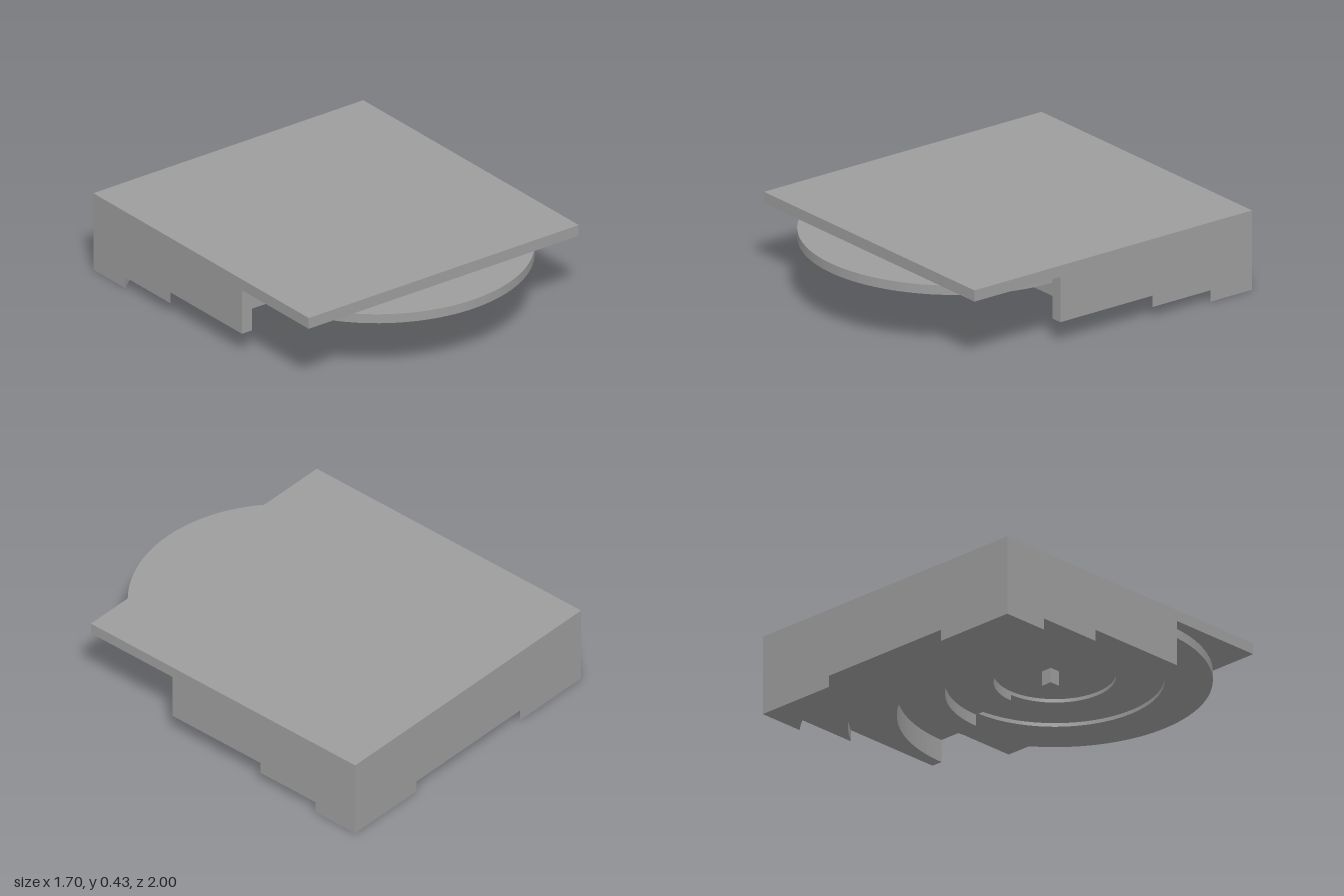
import * as THREE from 'three';

const HALF_W = 0.849;     // half width of the block
const AXIS_Z = 0.213;     // z of the axis shared by all round steps
const BACK = -1 - AXIS_Z; // back face, measured from the axis
const FRONT = 0.757 - AXIS_Z;
const DISC_R = 0.787;

export function createModel() {
  const group = new THREE.Group();
  const material = new THREE.MeshStandardMaterial({ color: 0x9d9d9d });

  // Plan outline (x, z from the axis) raised from y0 to y1
  function addLayer(name, shape, y0, y1) {
    const geo = new THREE.ExtrudeGeometry(shape, { depth: y1 - y0, bevelEnabled: false, curveSegments: 32 });
    geo.rotateX(Math.PI / 2);
    geo.translate(0, y1, AXIS_Z);
    const mesh = new THREE.Mesh(geo, material);
    mesh.name = name;
    group.add(mesh);
  }

  function rectangle(x, z0, z1) {
    return new THREE.Shape([[-x, z0], [x, z0], [x, z1], [-x, z1]].map(([a, b]) => new THREE.Vector2(a, b)));
  }

  // Rear block with a round bite of radius r
  function bittenBlock(r) {
    const a = r > HALF_W ? Math.acos(HALF_W / r) : 0;
    const edge = -r * Math.sin(a);
    const s = new THREE.Shape();
    s.moveTo(-HALF_W, BACK);
    s.lineTo(HALF_W, BACK);
    s.lineTo(HALF_W, edge);
    s.absarc(0, 0, r, -a, -Math.PI + a, true);
    s.lineTo(-HALF_W, edge);
    s.lineTo(-HALF_W, BACK);
    return s;
  }

  // Back corner left over where the largest circle breaks through the rear
  function cornerFoot(side, r) {
    const a = Math.acos(HALF_W / r), b = Math.asin(-BACK / r);
    const s = new THREE.Shape();
    s.moveTo(side * HALF_W, BACK);
    s.lineTo(side * HALF_W, -r * Math.sin(a));
    if (side > 0) s.absarc(0, 0, r, -a, -b, true);
    else s.absarc(0, 0, r, Math.PI + a, Math.PI + b, false);
    s.lineTo(side * HALF_W, BACK);
    return s;
  }

  // Front half of a disc, optionally hollowed
  function halfDisc(inner) {
    const s = new THREE.Shape();
    s.absarc(0, 0, DISC_R, 0, Math.PI, false);
    if (inner) s.absarc(0, 0, inner, Math.PI, 0, true);
    return s;
  }

  // Stepped rear block, from the feet upwards
  addLayer('leftFoot', cornerFoot(1, 1.274), 0, 0.061);
  addLayer('rightFoot', cornerFoot(-1, 1.274), 0, 0.061);
  [
    [1.03, 0.061, 0.122],
    [DISC_R, 0.122, 0.243],
    [0.547, 0.243, 0.304],
    [0.305, 0.304, 0.354],
  ].forEach(([r, y0, y1], i) => addLayer('blockStep' + (i + 1), bittenBlock(r), y0, y1));
  addLayer('blockCeiling', rectangle(HALF_W, BACK, 0), 0.354, 0.365);

  // Projecting half disc with a stepped hollow underneath
  addLayer('discRim', halfDisc(0.547), 0.315, 0.335);
  addLayer('discInnerStep', halfDisc(0.305), 0.335, 0.354);
  addLayer('discTop', halfDisc(0), 0.354, 0.365);

  // Flat top slab and the small square pin just behind the axis
  addLayer('topSlab', rectangle(HALF_W, BACK, FRONT), 0.365, 0.425);
  addLayer('centrePin', rectangle(0.03, -0.06, 0), 0.275, 0.354);

  return group;
}
